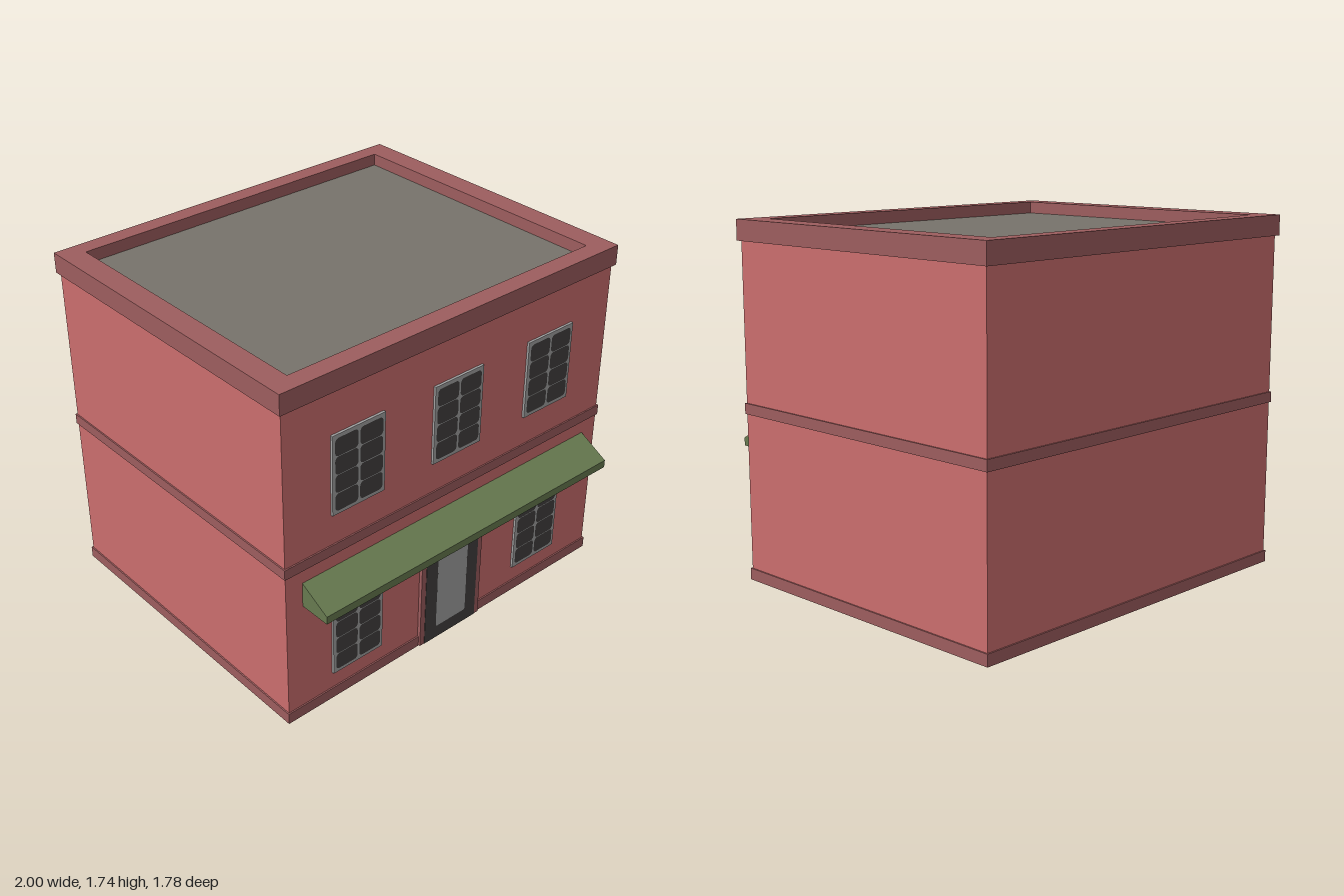
import * as THREE from 'three';

const mat = (name, color, side = THREE.FrontSide) => {
  const m = new THREE.MeshStandardMaterial({ color, side });
  m.name = name;
  return m;
};

export function createModel() {
  const wall = mat('wallRed', 0xcb6d6d);
  const trim = mat('trimRed', 0x9d5d5e);
  const roof = mat('roofGrey', 0x77736b);
  const green = mat('awningGreen', 0x66794f);
  const grey = mat('frameGrey', 0xa2a2a2);
  const dark = mat('darkGlass', 0x42403f);

  const building = new THREE.Group();
  building.name = 'building';
  const FRONT = 0.73, BACK = -0.875;

  const add = (parent, name, geometry, material) => {
    const mesh = new THREE.Mesh(geometry, material);
    mesh.name = name;
    parent.add(mesh);
    return mesh;
  };

  // Box given by its lower and upper limits
  const box = (parent, name, material, x0, x1, y0, y1, z0, z1) => {
    const mesh = add(parent, name, new THREE.BoxGeometry(x1 - x0, y1 - y0, z1 - z0), material);
    mesh.position.set((x0 + x1) / 2, (y0 + y1) / 2, (z0 + z1) / 2);
    return mesh;
  };

  // Thin pane with rounded corners, facing the front
  const pane = (parent, name, material, x0, x1, y0, y1, z, r) => {
    const s = new THREE.Shape();
    s.absarc(x1 - r, y1 - r, r, 0, Math.PI / 2);
    s.absarc(x0 + r, y1 - r, r, Math.PI / 2, Math.PI);
    s.absarc(x0 + r, y0 + r, r, Math.PI, Math.PI * 1.5);
    s.absarc(x1 - r, y0 + r, r, Math.PI * 1.5, Math.PI * 2);
    add(parent, name, new THREE.ShapeGeometry(s, 4), material).position.z = z;
  };

  // Walls and projecting bands
  box(building, 'walls', wall, -0.985, 0.985, 0.002, 1.645, BACK, FRONT);
  box(building, 'baseBand', trim, -0.992, 0.992, 0, 0.057, BACK - 0.007, FRONT + 0.007);
  box(building, 'floorBand', trim, -0.992, 0.992, 0.82, 0.872, BACK - 0.007, FRONT + 0.007);

  // Parapet ring around the sunken roof
  const ring = new THREE.Shape([[-1, -0.745], [1, -0.745], [1, 0.89], [-1, 0.89]]
    .map(([x, y]) => new THREE.Vector2(x, y)));
  ring.holes.push(new THREE.Path([[-0.885, -0.652], [-0.885, 0.802], [0.885, 0.802], [0.885, -0.652]]
    .map(([x, y]) => new THREE.Vector2(x, y))));
  const parapet = add(building, 'parapet',
    new THREE.ExtrudeGeometry(ring, { depth: 0.1, bevelEnabled: false }), trim);
  parapet.rotation.x = -Math.PI / 2;
  parapet.position.y = 1.64;
  box(building, 'roof', roof, -0.886, 0.886, 1.64, 1.68, -0.803, 0.653);

  // Windows: grey plate with two columns of four panes
  const addWindow = (x, y) => {
    const g = new THREE.Group();
    g.name = 'window';
    g.position.set(x, y, FRONT);
    box(g, 'windowFrame', grey, -0.147, 0.147, 0, 0.4, -0.005, 0.012);
    for (const side of [-1, 1]) {
      for (let row = 0; row < 4; row++) {
        const cx = side * 0.069, cy = 0.062 + row * 0.092;
        pane(g, 'windowPane', dark, cx - 0.064, cx + 0.064, cy - 0.0445, cy + 0.0445, 0.0135, 0.02);
      }
    }
    building.add(g);
  };
  for (const x of [-0.584, 0, 0.584]) addWindow(x, 1.03);
  for (const x of [-0.584, 0.584]) addWindow(x, 0.147);

  // Door
  const door = new THREE.Group();
  door.name = 'door';
  box(door, 'doorFrame', trim, -0.196, 0.196, 0.005, 0.6, FRONT - 0.005, 0.748);
  box(door, 'doorLeaf', dark, -0.168, 0.168, 0.005, 0.57, 0.74, 0.75);
  for (const [y0, y1] of [[0.075, 0.291], [0.289, 0.396], [0.394, 0.5]]) {
    pane(door, 'doorPane', grey, -0.097, 0.097, y0, y1, 0.752, 0.012);
  }
  building.add(door);

  // Sloping awning with an upright front lip
  const profile = new THREE.Shape([[0.725, 0.625], [0.89, 0.625], [0.89, 0.665], [0.73, 0.75], [0.725, 0.75]]
    .map(([z, y]) => new THREE.Vector2(-z, y)));
  const awning = add(building, 'awning',
    new THREE.ExtrudeGeometry(profile, { depth: 1.786, bevelEnabled: false }), green);
  awning.rotation.y = Math.PI / 2;
  awning.position.x = -0.893;

  return building;
}
